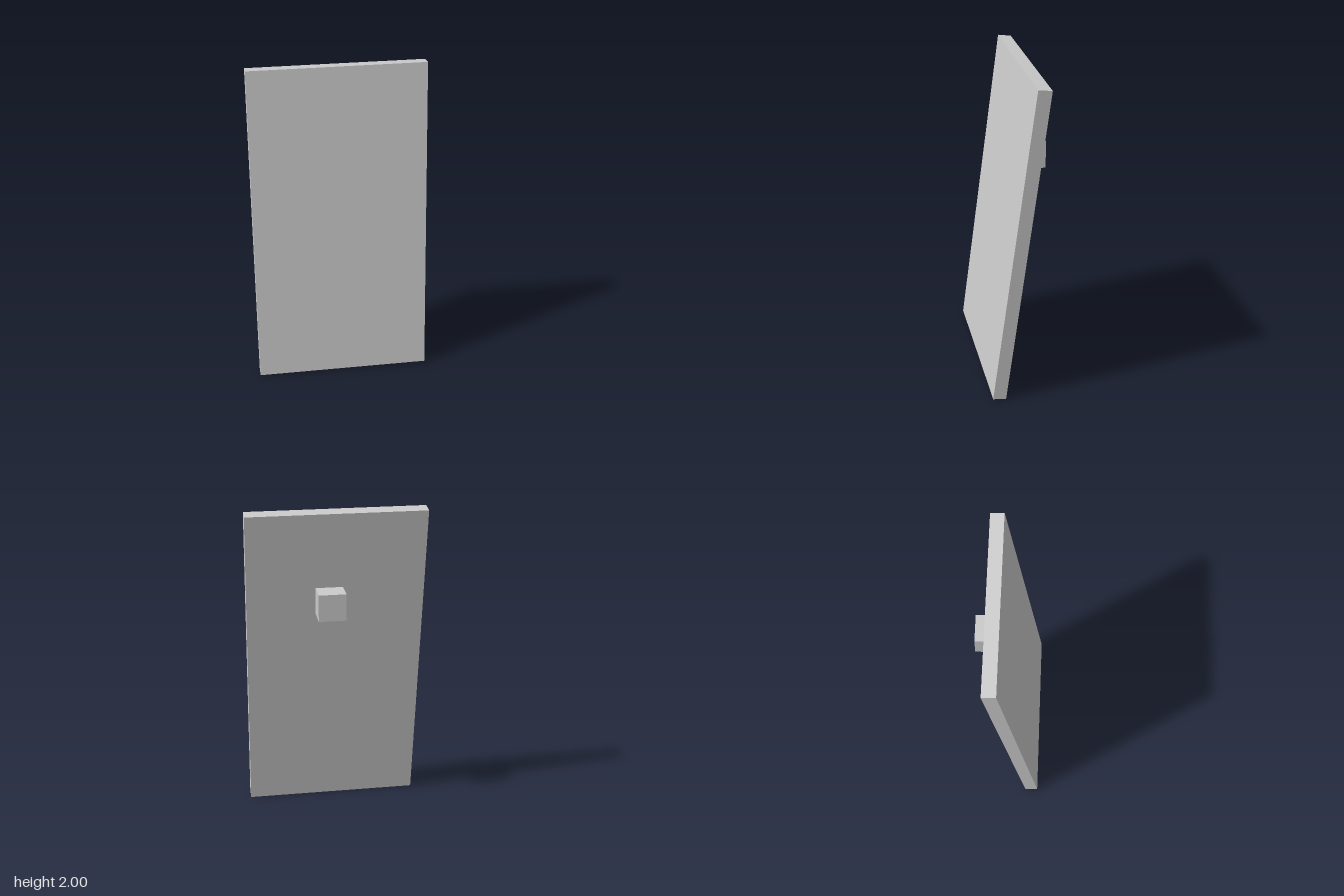
import * as THREE from 'three';

export function createModel() {
  const group = new THREE.Group();
  const material = new THREE.MeshStandardMaterial({ color: 0xcccccc, flatShading: true });

  const addBox = (name, size, position) => {
    const mesh = new THREE.Mesh(new THREE.BoxGeometry(...size), material);
    mesh.name = name;
    mesh.position.set(...position);
    group.add(mesh);
    return mesh;
  };

  // Tall flat panel, leaning backwards
  const panel = addBox('panel', [1.082, 2.006, 0.082], [0, 1, 0.035]);
  panel.rotation.x = -THREE.MathUtils.degToRad(7.47);

  // Upright cube set into the back of the panel, slightly off centre
  addBox('backBlock', [0.166, 0.166, 0.166], [0.04, 1.438, -0.126]);

  return group;
}
